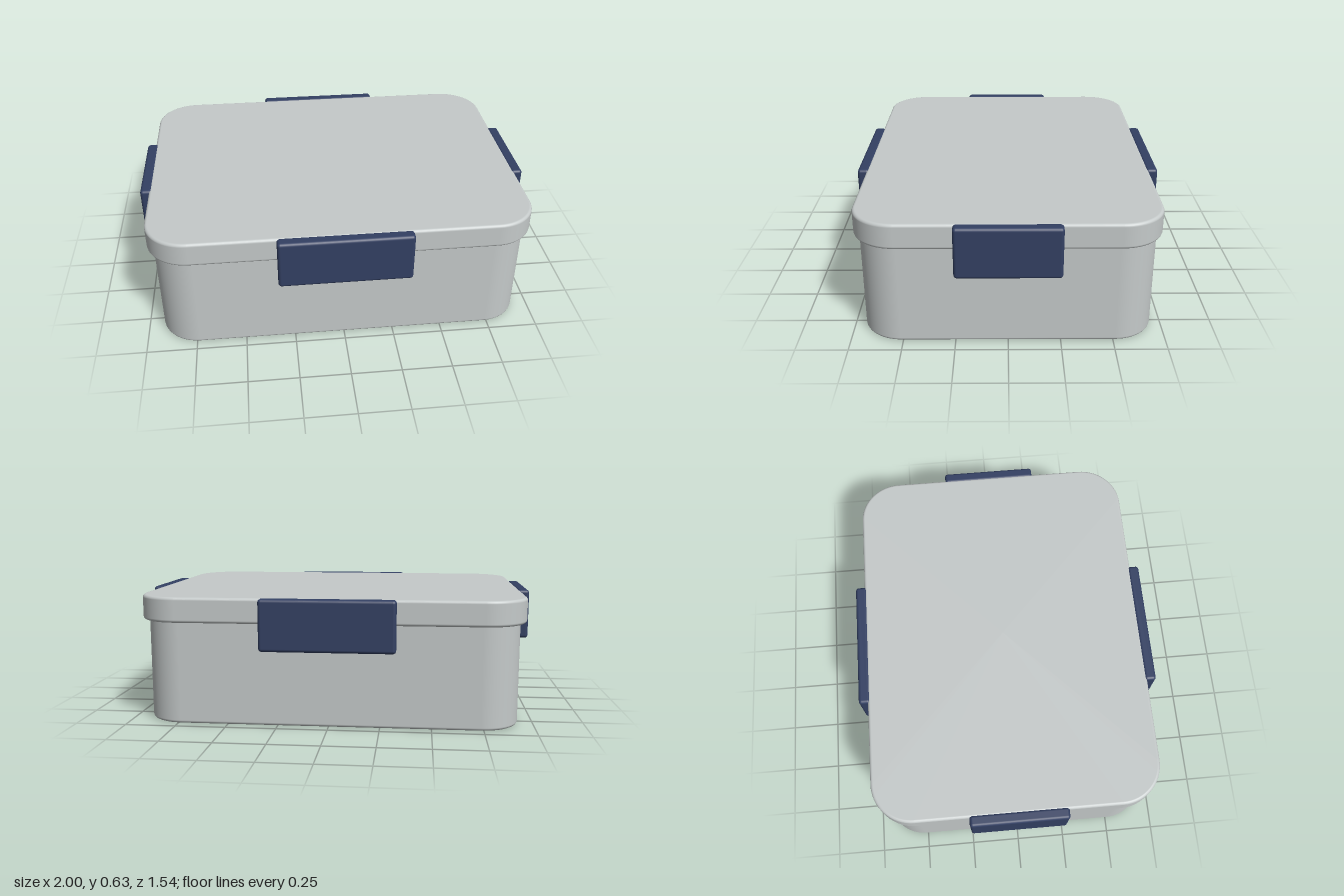
import * as THREE from 'three';
import { RoundedBoxGeometry } from 'three/addons/geometries/RoundedBoxGeometry.js';

// Slab with rounded plan corners (radius r) and softly rounded top and bottom edges (radius e)
function roundedSlab(width, depth, y0, y1, r, e) {
  const cornerSteps = 16, edgeSteps = 5;
  const rings = [];
  for (const [side, y] of [[-1, y0 + e], [1, y1 - e]]) {
    for (let i = 0; i <= edgeSteps; i++) {
      const t = side < 0 ? i / edgeSteps - 1 : i / edgeSteps;
      const a = t * Math.PI / 2;
      rings.push({ radius: r - e + e * Math.cos(a), y: y + e * Math.sin(a), a });
    }
  }
  const position = [], normal = [], index = [];
  const corners = [[1, 1], [-1, 1], [-1, -1], [1, -1]];
  for (const ring of rings) {
    corners.forEach(([sx, sz], q) => {
      for (let i = 0; i <= cornerSteps; i++) {
        const b = (q + i / cornerSteps) * Math.PI / 2;
        const c = Math.cos(b), s = Math.sin(b);
        position.push(sx * (width / 2 - r) + ring.radius * c, ring.y, sz * (depth / 2 - r) + ring.radius * s);
        normal.push(c * Math.cos(ring.a), Math.sin(ring.a), s * Math.cos(ring.a));
      }
    });
  }
  const n = 4 * (cornerSteps + 1), last = (rings.length - 1) * n;
  const bottom = position.length / 3, top = bottom + 1;
  position.push(0, y0, 0, 0, y1, 0);
  normal.push(0, -1, 0, 0, 1, 0);
  for (let i = 0; i < n; i++) {
    const j = (i + 1) % n;
    for (let k = 0; k < last; k += n) {
      index.push(k + i, k + n + i, k + j, k + j, k + n + i, k + n + j);
    }
    index.push(bottom, i, j, top, last + j, last + i);
  }
  const geometry = new THREE.BufferGeometry();
  geometry.setAttribute('position', new THREE.Float32BufferAttribute(position, 3));
  geometry.setAttribute('normal', new THREE.Float32BufferAttribute(normal, 3));
  geometry.setIndex(index);
  return geometry;
}

export function createModel() {
  const grey = new THREE.MeshStandardMaterial({ color: 0xc5caca });
  grey.name = 'light grey plastic';
  const navy = new THREE.MeshStandardMaterial({ color: 0x334063 });
  navy.name = 'navy plastic';

  const model = new THREE.Group();
  model.name = 'lunchBox';
  const add = (name, geometry, material) => {
    const mesh = new THREE.Mesh(geometry, material);
    mesh.name = name;
    model.add(mesh);
    return mesh;
  };

  // Container and the slightly wider lid over its rim
  add('container', roundedSlab(1.85, 1.4, 0, 0.54, 0.19, 0.015), grey);
  add('lid', roundedSlab(1.91, 1.45, 0.505, 0.63, 0.21, 0.015), grey);

  // Locking clips: long ones front and back, short ones on the sides
  const clipHeight = 0.253, clipThickness = 0.06, clipY = 0.505;
  const longClip = new RoundedBoxGeometry(0.655, clipHeight, clipThickness, 4, 0.016);
  const shortClip = new RoundedBoxGeometry(clipThickness, clipHeight, 0.495, 4, 0.016);
  for (const s of [1, -1]) {
    add(s > 0 ? 'frontClip' : 'backClip', longClip, navy).position.set(0, clipY, s * 0.742);
    add(s > 0 ? 'leftClip' : 'rightClip', shortClip, navy).position.set(s * 0.97, clipY, 0);
  }
  return model;
}
